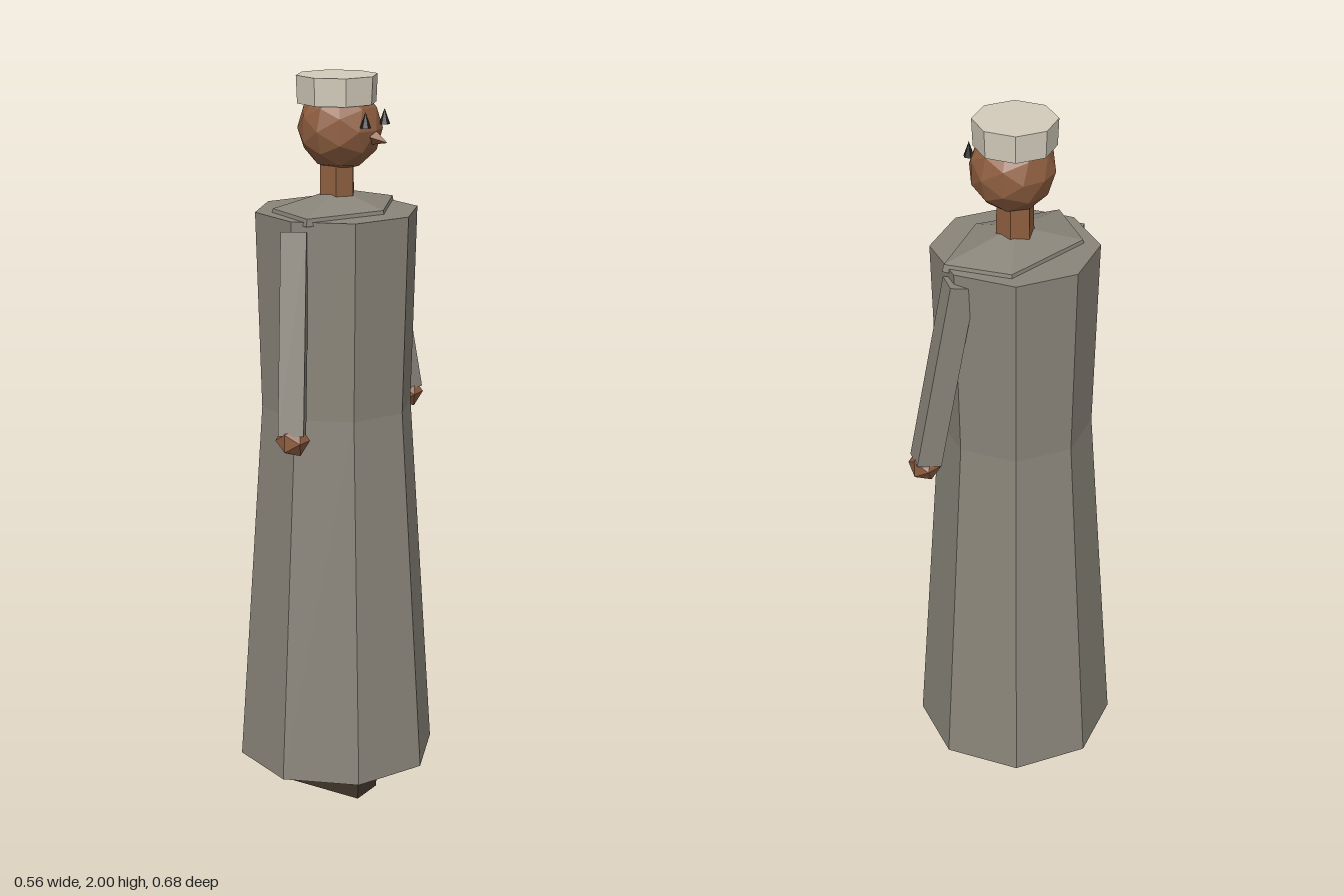
import * as THREE from 'three';

const mat = (name, color) => {
  const m = new THREE.MeshStandardMaterial({ color, flatShading: true });
  m.name = name;
  return m;
};

// The figure looks along +x; its arms hang at +z and -z.
export function createModel() {
  const model = new THREE.Group();
  model.name = 'robedFigure';
  const robe = mat('robeGrey', 0x8a857a);
  const skin = mat('skinBrown', 0x8f5f40);
  const cream = mat('capCream', 0xd3cbbb);
  const shoe = mat('shoeBrown', 0x3f342b);
  const dark = mat('eyeDark', 0x221c18);

  const add = (name, geometry, material, x, y, z, parent = model) => {
    const mesh = new THREE.Mesh(geometry, material);
    mesh.name = name;
    mesh.position.set(x, y, z);
    parent.add(mesh);
    return mesh;
  };

  // Eight-sided robe: flared skirt and upright torso
  add('skirt', new THREE.CylinderGeometry(0.21, 0.28, 1.03, 8), robe, 0, 0.585, 0);
  add('torso', new THREE.CylinderGeometry(0.224, 0.21, 0.54, 8), robe, 0, 1.37, 0);

  // Five-sided shoulder yoke, stretched sideways
  const yoke = new THREE.Group();
  yoke.name = 'shoulderYoke';
  yoke.scale.z = 1.55;
  model.add(yoke);
  const yokeRim = new THREE.CylinderGeometry(0.146, 0.15, 0.02, 5).rotateY(Math.PI / 2);
  const yokeSlope = new THREE.CylinderGeometry(0.03, 0.146, 0.037, 5).rotateY(Math.PI / 2);
  add('yokeRim', yokeRim, robe, 0, 1.64, 0, yoke);
  add('yokeSlope', yokeSlope, robe, 0, 1.6685, 0, yoke);

  // Neck, head and cap
  add('neck', new THREE.CylinderGeometry(0.05, 0.052, 0.14, 6).rotateY(Math.PI / 2), skin, 0, 1.72, 0);
  add('head', new THREE.IcosahedronGeometry(0.114, 1), skin, 0.01, 1.86, 0);
  add('cap', new THREE.CylinderGeometry(0.111, 0.108, 0.074, 8), cream, 0, 1.963, 0);

  // Wedge nose with its tip low and forward
  const nose = new THREE.ConeGeometry(0.032, 0.062, 4).rotateZ(-Math.PI / 2);
  const p = nose.attributes.position;
  for (let i = 0; i < p.count; i++) {
    if (p.getX(i) > 0.02) p.setY(i, -0.022);
  }
  add('nose', nose, skin, 0.126, 1.852, 0);

  for (const side of [1, -1]) {
    add('eye', new THREE.ConeGeometry(0.015, 0.042, 6), dark, 0.119, 1.893, side * 0.048);
    add('foot', new THREE.BoxGeometry(0.245, 0.1, 0.1), shoe, 0.0425, 0.05, side * 0.1);

    // Sleeve runs from shoulder to wrist, turned a little forward
    const top = new THREE.Vector3(0, 1.61, side * 0.205);
    const wrist = new THREE.Vector3(0.047, 1.085, side * 0.295);
    const dir = wrist.clone().sub(top);
    const sleeve = add('sleeve', new THREE.BoxGeometry(0.068, dir.length(), 0.068), robe, 0, 0, 0);
    sleeve.position.copy(top).add(wrist).multiplyScalar(0.5);
    const yaw = Math.atan2(dir.x, dir.z);
    const tilt = Math.atan2(Math.hypot(dir.x, dir.z), -dir.y);
    sleeve.rotation.set(-tilt, yaw, 0, 'YXZ');
    add('hand', new THREE.IcosahedronGeometry(0.046, 0), skin, 0.05, 1.072, side * 0.296);
  }
  return model;
}
